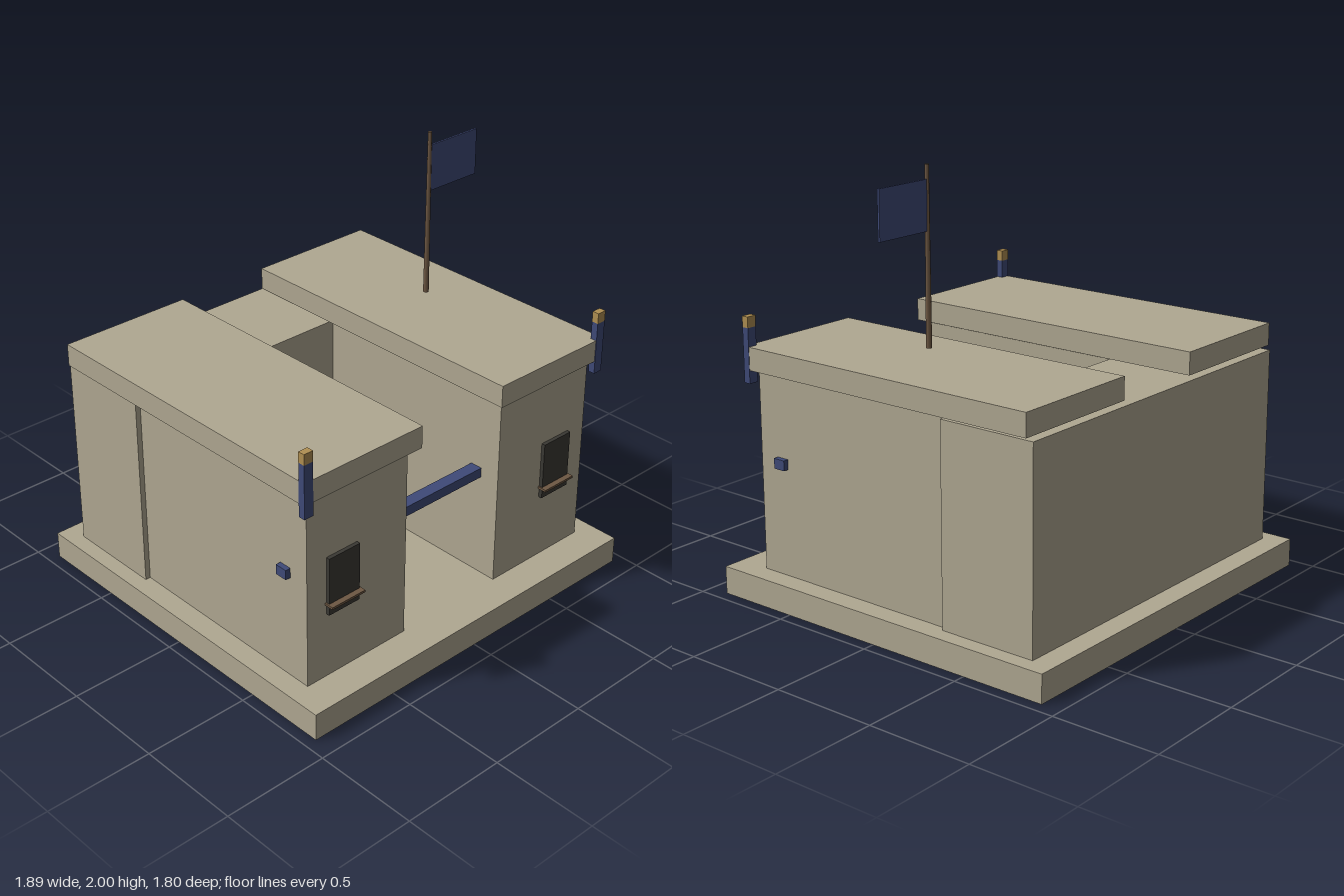
import * as THREE from 'three';

const mat = (color) => new THREE.MeshStandardMaterial({ color });

export function createModel() {
  const model = new THREE.Group();
  const stone = mat(0xb0a892), dark = mat(0x3a3833), blue = mat(0x3f4a78);
  const gold = mat(0xb08f52), wood = mat(0x6e5843);

  const add = (name, geometry, material, x, y, z) => {
    const mesh = new THREE.Mesh(geometry, material);
    mesh.name = name;
    mesh.position.set(x, y, z);
    model.add(mesh);
    return mesh;
  };
  // Box given by its extents on each axis
  const box = (name, material, x0, x1, y0, y1, z0, z1) =>
    add(name, new THREE.BoxGeometry(x1 - x0, y1 - y0, z1 - z0), material,
      (x0 + x1) / 2, (y0 + y1) / 2, (z0 + z1) / 2);

  // Plinth, rear hall and its door
  box('base', stone, -0.945, 0.945, 0, 0.13, -0.905, 0.9);
  box('rearHall', stone, -0.87, 0.87, 0.13, 1.045, -0.8, -0.325);
  box('door', dark, -0.163, 0.163, 0.13, 0.785, -0.325, -0.295);

  // Beam running through both wings and showing at the outer walls
  box('crossBeam', blue, -0.87, 0.87, 0.63, 0.677, 0.58, 0.64);

  // Two mirrored wings with roof, window, corner post and sandbags
  for (const s of [-1, 1]) {
    const side = s > 0 ? 'left' : 'right';
    const sideBox = (part, material, a, b, ...rest) =>
      box(side + part, material, Math.min(s * a, s * b), Math.max(s * a, s * b), ...rest);
    sideBox('Wing', stone, 0.283, 0.845, 0.13, 1.045, -0.325, 0.74);
    sideBox('Roof', stone, 0.24, 0.89, 1.06, 1.165, -0.78, 0.78);
    sideBox('Window', dark, 0.567, 0.738, 0.45, 0.73, 0.735, 0.758);
    sideBox('WindowSill', wood, 0.56, 0.745, 0.496, 0.507, 0.74, 0.785);
    sideBox('CornerPost', blue, 0.845, 0.892, 1.0, 1.25, 0.75, 0.783);
    sideBox('PostCap', gold, 0.845, 0.892, 1.25, 1.3, 0.75, 0.783);
    for (const x of [0.623, 0.763]) {
      const bag = add(side + 'Sandbag', new THREE.SphereGeometry(0.07, 10, 6), stone, s * x, 1.04, 0.61);
      bag.scale.y = 0.4;
    }
  }

  // Flagpole and flag above the left roof
  add('flagpole', new THREE.CylinderGeometry(0.009, 0.013, 0.78, 8), wood, 0.563, 1.61, 0);
  box('flag', blue, 0.57, 0.858, 1.72, 1.938, -0.005, 0.005);

  return model;
}
